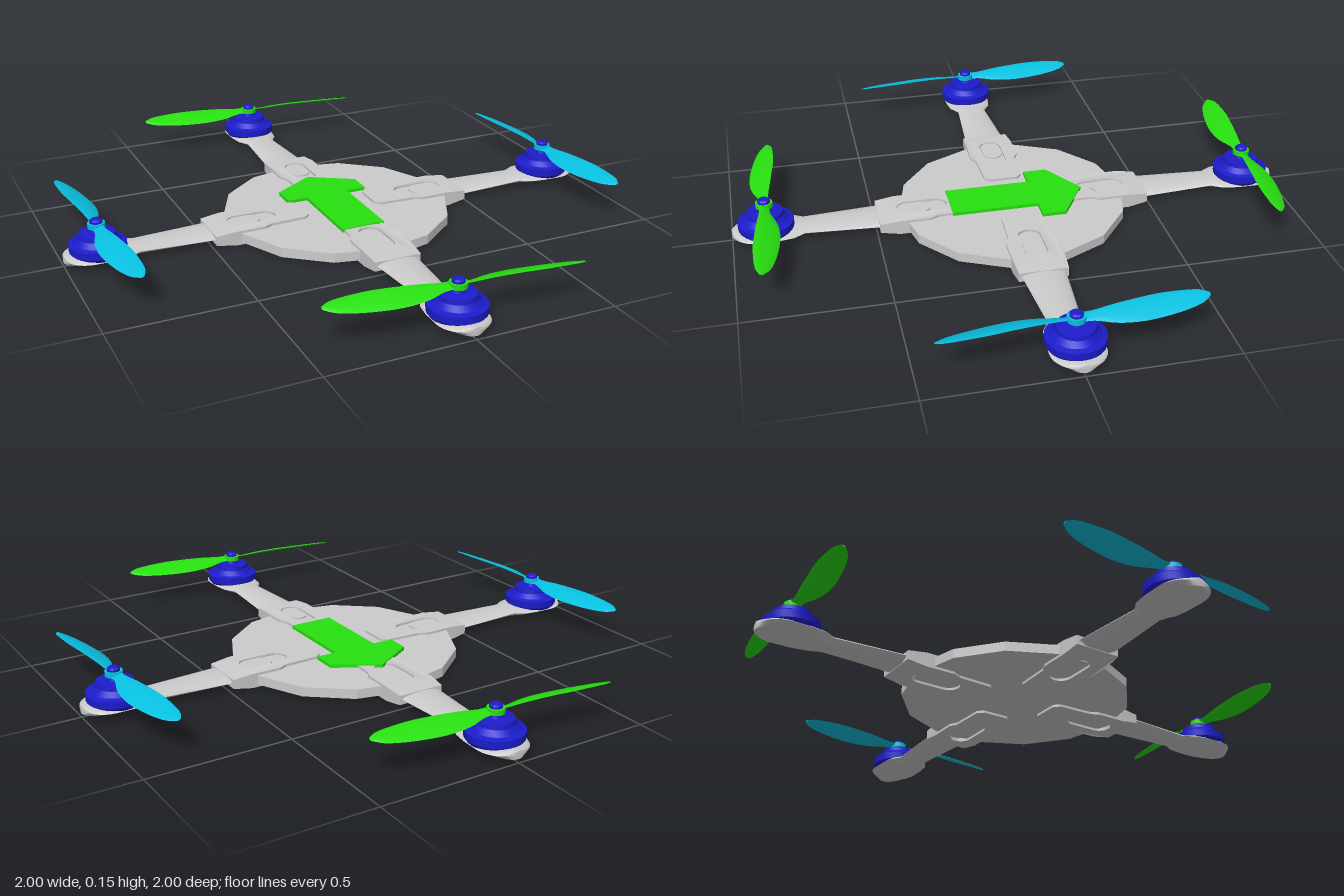
import * as THREE from 'three';
import { toCreasedNormals } from 'three/addons/utils/BufferGeometryUtils.js';

const material = (color) => new THREE.MeshStandardMaterial({ color });
const grey = material(0xcccccc);
const blue = material(0x1c1ccc);
const green = material(0x28e010);
const cyan = material(0x08c0e0);

function part(name, geometry, mat) {
  const mesh = new THREE.Mesh(geometry, mat);
  mesh.name = name;
  return mesh;
}

// Skin closed cross-sections (arrays of [x, y, z]) that advance along +x.
// Each section runs from +z over the top to -z and back underneath.
function loft(sections, crease) {
  const n = sections[0].length, last = (sections.length - 1) * n, index = [];
  for (let i = 0; i < sections.length - 1; i++) {
    for (let j = 0; j < n; j++) {
      const k = (j + 1) % n, a = i * n, b = a + n;
      index.push(a + j, b + j, b + k, a + j, b + k, a + k);
    }
  }
  for (let j = 1; j < n - 1; j++) {
    index.push(0, j, j + 1, last, last + j + 1, last + j);
  }
  const g = new THREE.BufferGeometry();
  g.setAttribute('position', new THREE.Float32BufferAttribute(sections.flat(2), 3));
  g.setIndex(index);
  return toCreasedNormals(g, crease);
}

// Flat outline raised from y0 to y1
function slab(shape, y0, y1) {
  const g = new THREE.ExtrudeGeometry(shape, { depth: y1 - y0, bevelEnabled: false, curveSegments: 8 });
  return g.rotateX(-Math.PI / 2).translate(0, y0, 0);
}

const polygon = (points) => new THREE.Shape(points.map(([x, y]) => new THREE.Vector2(x, y)));

// Long outline with round ends
function stadium(x0, x1, r, Type = THREE.Shape) {
  const s = new Type();
  s.absarc(x1 - r, 0, r, -Math.PI / 2, Math.PI / 2);
  s.absarc(x0 + r, 0, r, Math.PI / 2, Math.PI * 1.5);
  s.closePath();
  return s;
}

// Tapered arm with a crowned top, bevelled underside and round motor mount
function armGeometry() {
  const stations = [[0.2, 0.07], [0.49, 0.075], [0.75, 0.055], [0.79, 0.08], [0.84, 0.088]];
  for (let i = 0; i <= 8; i++) {
    const t = (i / 8) * 1.52;
    stations.push([0.91 + 0.09 * Math.sin(t), 0.09 * Math.cos(t)]);
  }
  return loft(stations.map(([x, w]) => {
    const section = [];
    for (let j = 0; j <= 8; j++) {
      const t = (j / 8) * Math.PI;
      section.push([x, 0.028 + 0.014 * Math.sin(t), w * Math.cos(t)]);
    }
    section.push([x, 0.013, -0.6 * w], [x, 0.013, 0.6 * w]);
    return section;
  }), 0.6);
}

// Clip plate with a slot; its outer end thins down to the arm
function plateGeometry() {
  const shape = polygon([
    [0.13, -0.05], [0.15, -0.07], [0.28, -0.075], [0.31, -0.09], [0.42, -0.09], [0.49, -0.085],
    [0.49, 0.085], [0.42, 0.09], [0.31, 0.09], [0.28, 0.075], [0.15, 0.07], [0.13, 0.05],
  ]);
  shape.holes.push(stadium(0.24, 0.42, 0.04, THREE.Path));
  const g = slab(shape, 0, 0.052);
  const p = g.attributes.position;
  for (let i = 0; i < p.count; i++) {
    if (p.getX(i) > 0.45) p.setY(i, THREE.MathUtils.clamp(p.getY(i), 0.011, 0.044));
  }
  return toCreasedNormals(g, 0.4);
}

// Swept, pitched blade; hand is 1 or -1 for the direction of spin
function bladeGeometry(hand) {
  // distance from hub, half chord, sweep
  const curve = new THREE.CatmullRomCurve3([
    [0, 0.018, 0], [0.05, 0.018, 0], [0.12, 0.033, -0.005], [0.2, 0.041, -0.002],
    [0.28, 0.041, 0.008], [0.36, 0.033, 0.018], [0.41, 0.022, 0.026], [0.437, 0.006, 0.031],
  ].map((p) => new THREE.Vector3(...p)));
  const sections = curve.getPoints(20).map(({ x, y: half, z: sweep }) => {
    const section = [];
    for (let j = 0; j < 10; j++) {
      const t = (j / 10) * Math.PI * 2;
      const v = half * Math.cos(t);
      section.push([x, 0.35 * hand * v + (0.002 + half * 0.06) * Math.sin(t), hand * sweep + v]);
    }
    return section;
  });
  return loft(sections, 0.9);
}

function motorGeometry() {
  const profile = [
    [0, 0.03], [0.088, 0.03], [0.097, 0.042], [0.098, 0.068], [0.08, 0.073], [0.064, 0.09],
    [0.062, 0.105], [0.024, 0.108], [0.02, 0.118], [0.022, 0.146], [0.016, 0.152], [0, 0.152],
  ].map(([r, y]) => new THREE.Vector2(r, y));
  return toCreasedNormals(new THREE.LatheGeometry(profile, 28), 0.5);
}

export function createModel() {
  const model = new THREE.Group();
  model.name = 'quadcopter';

  // Central disc, fourteen sided
  const hub = toCreasedNormals(new THREE.CylinderGeometry(0.41, 0.41, 0.034, 14), 0.1);
  model.add(part('hub', hub.translate(0, 0.026, 0), grey));

  // Direction arrow pointing to the back
  const arrow = polygon([
    [-0.08, -0.23], [0.08, -0.23], [0.08, 0.08], [0.155, 0.08],
    [0.155, 0.165], [0, 0.26], [-0.155, 0.165], [-0.155, 0.08], [-0.08, 0.08],
  ]);
  model.add(part('arrow', slab(arrow, 0.04, 0.055), green));

  const arm = armGeometry();
  const plate = plateGeometry();
  const lug = slab(stadium(0.3, 0.42, 0.036), 0.03, 0.048);
  const motor = motorGeometry();
  const propellerHub = new THREE.CylinderGeometry(0.03, 0.03, 0.018, 20);
  const blades = { 1: bladeGeometry(1), '-1': bladeGeometry(-1) };

  // Four identical arms; neighbouring propellers spin opposite ways
  ['left', 'back', 'right', 'front'].forEach((side, i) => {
    const unit = new THREE.Group();
    unit.name = side + 'Arm';
    unit.rotation.y = (i * Math.PI) / 2;
    unit.add(part('arm', arm, grey), part('clipPlate', plate, grey), part('slotLug', lug, grey));

    const motorMesh = part('motor', motor, blue);
    motorMesh.position.x = 0.88;
    unit.add(motorMesh);

    const sideways = i % 2 === 0;
    const color = sideways ? cyan : green;
    const propeller = new THREE.Group();
    propeller.name = 'propeller';
    propeller.position.set(0.88, 0.13, 0);
    propeller.rotation.y = Math.PI / 2;
    propeller.add(part('propellerHub', propellerHub, color));
    for (const turn of [0, Math.PI]) {
      const blade = part('blade', blades[sideways ? -1 : 1], color);
      blade.rotation.y = turn;
      propeller.add(blade);
    }
    unit.add(propeller);
    model.add(unit);
  });
  return model;
}
